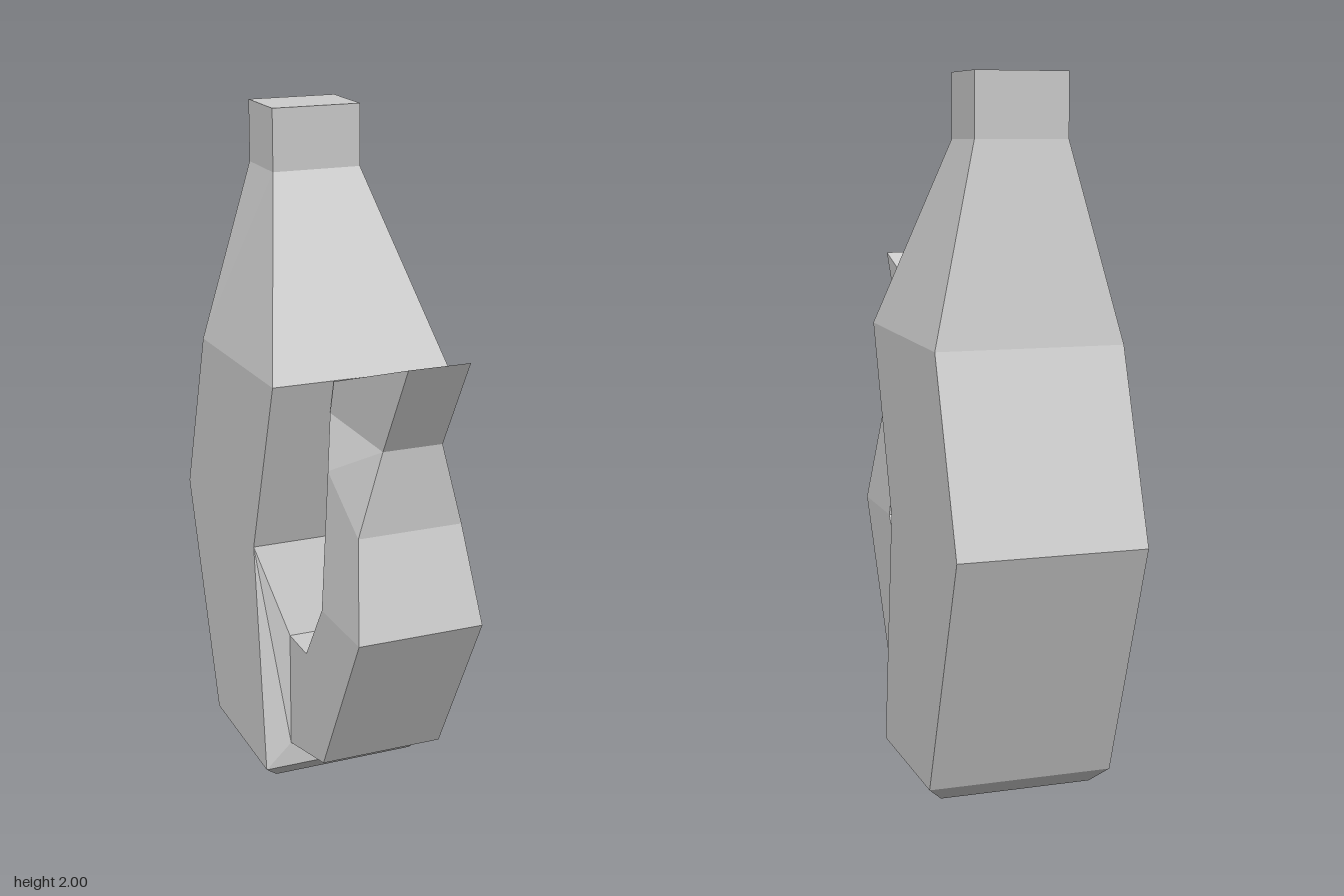
import * as THREE from 'three';

// Four-cornered section: left and right points on the front (outer) and back (inner) edges
const section = (cx, [zf, yf, wf], [zb, yb, wb]) => [
  [cx - wf, yf, zf], [cx + wf, yf, zf], [cx + wb, yb, zb], [cx - wb, yb, zb],
];

// Skin successive sections with flat quads; skip(band, side) leaves a quad open
function loft(sections, { startCap = false, endCap = false, skip = () => false } = {}) {
  const pos = [];
  const quad = (a, b, c, d) => pos.push(...a, ...b, ...c, ...a, ...c, ...d);
  for (let s = 0; s < sections.length - 1; s++) {
    const a = sections[s], b = sections[s + 1];
    for (let i = 0; i < 4; i++) {
      const j = (i + 1) % 4;
      if (!skip(s, i)) quad(a[i], a[j], b[j], b[i]);
    }
  }
  if (startCap) quad(...[...sections[0]].reverse());
  if (endCap) quad(...sections[sections.length - 1]);
  const geometry = new THREE.BufferGeometry();
  geometry.setAttribute('position', new THREE.Float32BufferAttribute(pos, 3));
  geometry.computeVertexNormals();
  return geometry;
}

export function createModel() {
  const group = new THREE.Group();
  const grey = new THREE.MeshStandardMaterial({ color: 0xcccccc });
  grey.name = 'light grey';
  const add = (name, geometry) => {
    const mesh = new THREE.Mesh(geometry, grey);
    mesh.name = name;
    group.add(mesh);
  };

  // Body, from the bevelled base up to the neck
  const body = [
    section(-0.003, [0.01, 0, 0.222], [-0.36, 0, 0.222]),
    section(-0.003, [0.05, 0.045, 0.268], [-0.402, 0.045, 0.268]),
    section(-0.003, [-0.033, 0.745, 0.268], [-0.652, 0.745, 0.268]),
    section(-0.003, [0.148, 1.287, 0.268], [-0.466, 1.27, 0.268]),
    section(-0.009, [-0.175, 1.82, 0.134], [-0.373, 1.82, 0.134]),
    section(-0.009, [-0.175, 2, 0.134], [-0.373, 2, 0.134]),
  ];
  add('body', loft(body, { startCap: true, endCap: true, skip: (band, side) => band === 1 && side === 0 }));

  // Handle, from its root on the lower front up to the flared thumb rest
  const handle = [
    section(-0.007, [0.05, 0.122, 0.184], [0.05, 0.48, 0.184]),
    section(-0.007, [0.315, 0.19, 0.184], [0.183, 0.48, 0.184]),
    section(-0.007, [0.575, 0.675, 0.184], [0.307, 0.67, 0.184]),
    section(-0.006, [0.492, 0.95, 0.153], [0.268, 1.068, 0.15]),
    section(-0.005, [0.498, 1.19, 0.087], [0.127, 1.187, 0.087]),
    section(-0.005, [0.653, 1.457, 0.087], [0.155, 1.287, 0.087]),
  ];
  add('handle', loft(handle, { endCap: true }));

  // Lower front panel, folding in from the body edges to the handle root
  const frame = [body[1][0], body[1][1], body[2][1], body[2][0]];
  add('lowerFrontPanel', loft([frame, handle[0]]));

  return group;
}
